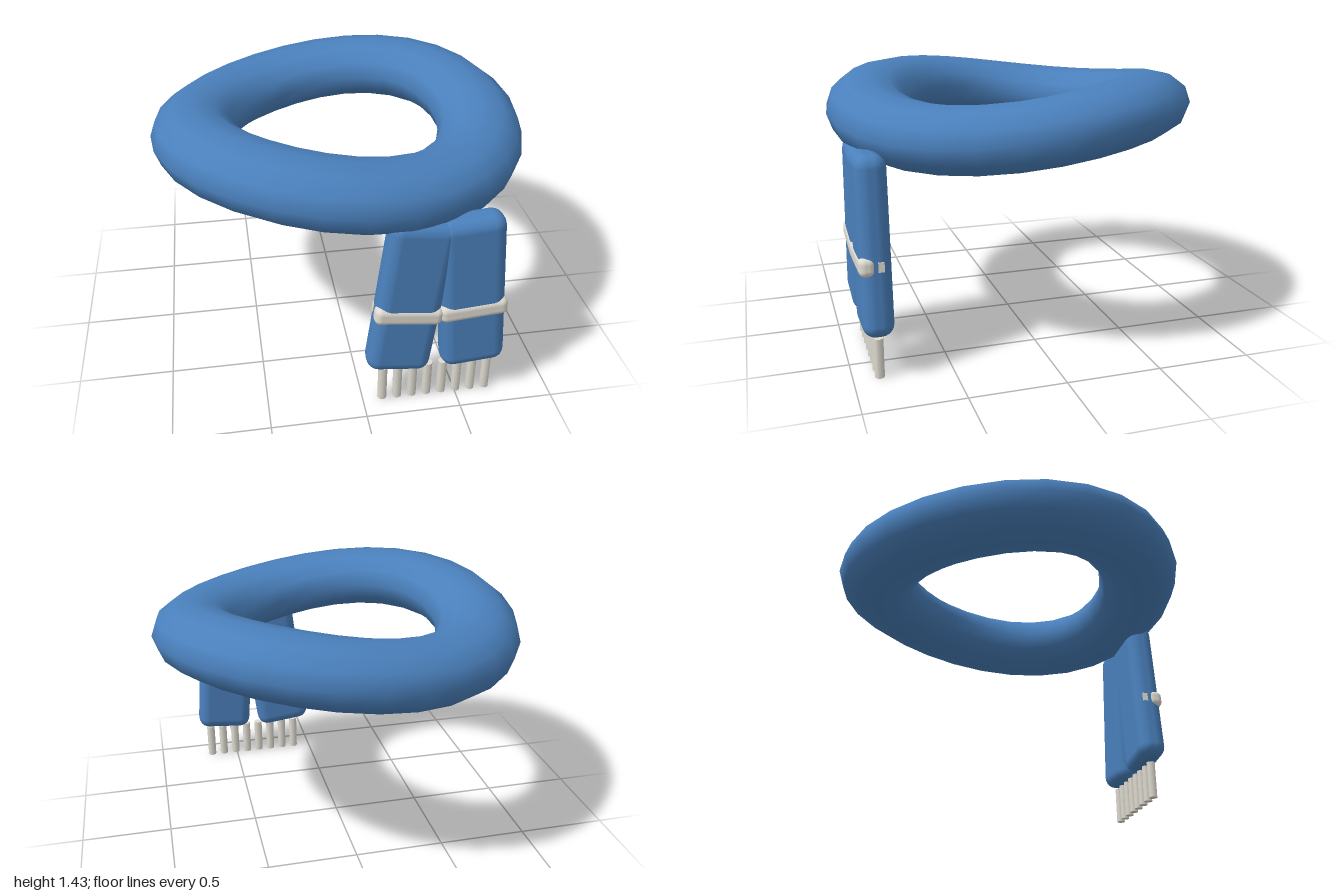
import * as THREE from 'three';
import { mergeVertices } from 'three/addons/utils/BufferGeometryUtils.js';
import { RoundedBoxGeometry } from 'three/addons/geometries/RoundedBoxGeometry.js';

const blueWool = new THREE.MeshStandardMaterial({ name: 'blueWool', color: 0x4a80bc });
const creamWool = new THREE.MeshStandardMaterial({ name: 'creamWool', color: 0xdedad0 });

function addMesh(parent, name, geometry, material, x = 0, y = 0, z = 0) {
  const mesh = new THREE.Mesh(geometry, material);
  mesh.name = name;
  mesh.position.set(x, y, z);
  parent.add(mesh);
  return mesh;
}

// Flattened ring that waves up and down twice around the neck
function neckLoopGeometry() {
  const torus = new THREE.TorusGeometry(0.7735, 0.2265, 12, 28);
  torus.scale(1, 1, 0.17 / 0.2265);
  torus.rotateX(Math.PI / 2);
  torus.deleteAttribute('uv');
  torus.deleteAttribute('normal');
  const geometry = mergeVertices(torus, 1e-4);
  const p = geometry.attributes.position;
  for (let i = 0; i < p.count; i++) {
    const angle = Math.atan2(p.getZ(i), p.getX(i));
    p.setY(i, p.getY(i) - 0.05 * Math.sin(2 * angle));
  }
  geometry.computeVertexNormals();
  return geometry;
}

// Hanging end with a raised stripe; outer is the side facing away from the other end
function makeTail(name, x, tilt, outer) {
  const tail = new THREE.Group();
  tail.name = name;
  tail.position.set(x, 0.664, 0.865);
  tail.rotation.z = tilt;
  addMesh(tail, 'tailCloth', new RoundedBoxGeometry(0.335, 0.9, 0.157, 3, 0.065), blueWool);
  addMesh(tail, 'stripe', new RoundedBoxGeometry(0.35, 0.1, 0.085, 3, 0.035), creamWool, 0, -0.085, 0.043);
  addMesh(tail, 'stripeEnd', new THREE.BoxGeometry(0.01, 0.05, 0.03), creamWool, outer * 0.165, -0.085, -0.022);
  return tail;
}

export function createModel() {
  const scarf = new THREE.Group();
  scarf.name = 'scarf';
  addMesh(scarf, 'neckLoop', neckLoopGeometry(), blueWool, 0, 1.21, 0);
  scarf.add(makeTail('rightTail', 0.225, -0.12, -1));
  scarf.add(makeTail('leftTail', 0.542, 0.08, 1));

  // Row of fringe strands under both tails
  const strand = new THREE.CylinderGeometry(0.025, 0.025, 0.21, 8);
  for (let i = 0; i < 8; i++) {
    addMesh(scarf, 'fringe', strand, creamWool, 0.105 + i * 0.0805, 0.105, 0.868);
  }
  return scarf;
}
